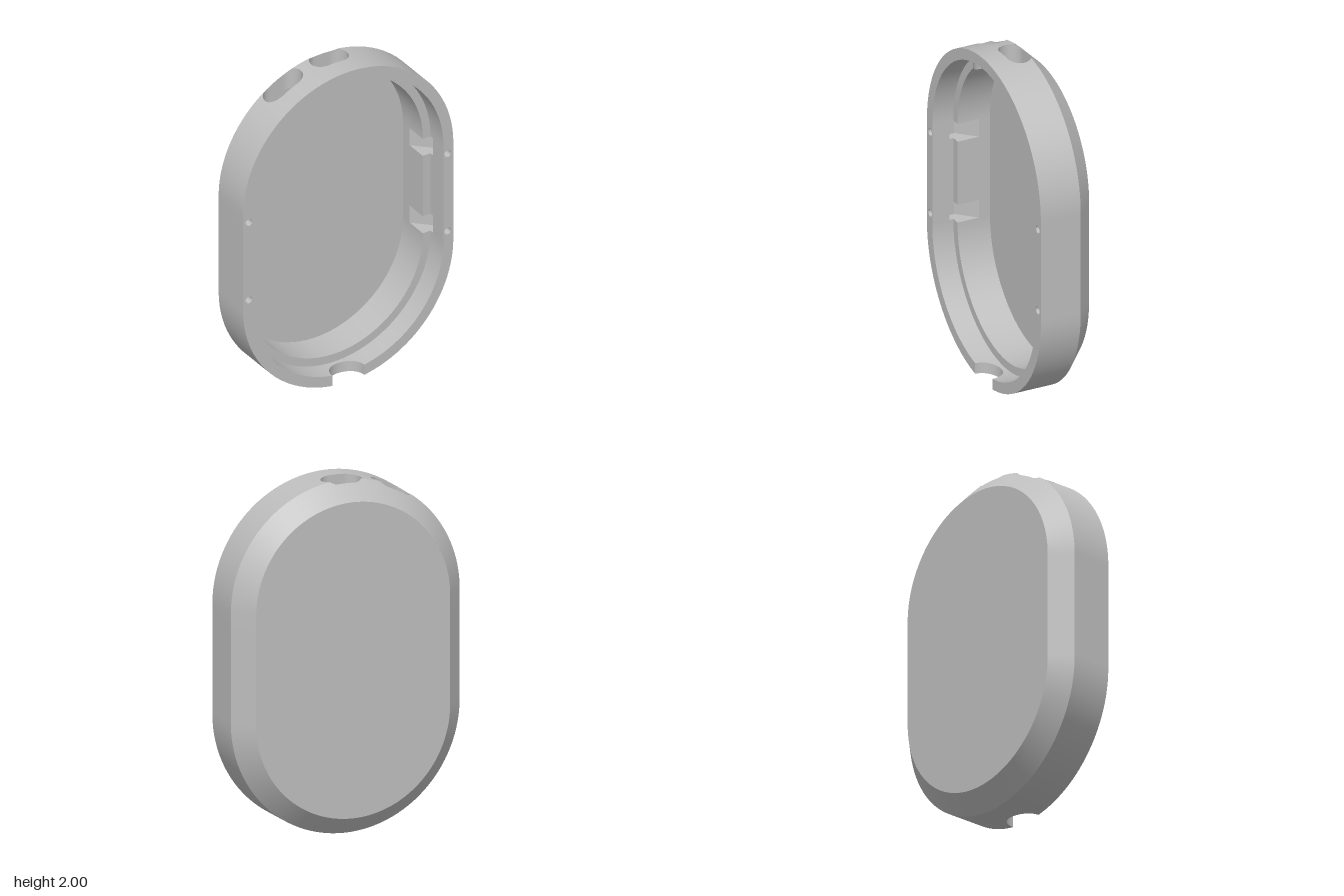
import * as THREE from 'three';
import { toCreasedNormals } from 'three/addons/utils/BufferGeometryUtils.js';

const R = 0.69, BACK_R = 0.585, RIM_R = 0.625, IN_R = 0.575, TOP = 1.31;
const FRONT = 0.175, LEDGE = 0.045, EDGE = -0.07, BACK = -0.175, FLOOR = -0.155;
const SLOT_W = 0.1175, SLOT_H = 0.071, SLOT_Z = -0.016, NOTCH = 0.105;
const POCKET_Z = [-0.087, 0.07], POCKET_R = 0.676, POCKET_Y = [0.75, 1.25], POCKET_H = 0.055;
const HOLE_X = 0.652, HOLE_R = 0.022;

const lerp = THREE.MathUtils.lerp, clamp = THREE.MathUtils.clamp;

// x samples across an opening, denser towards its ends
const across = (c, w) => Array.from({ length: 33 }, (_, k) => c + w * Math.cos(Math.PI * k / 32));

// z range removed by the port slots and by the notch at a given x
function slotGap(x) {
  for (const c of [0, -0.303]) {
    const d = Math.abs(x - c);
    if (d > SLOT_W + 1e-6) continue;
    const e = Math.max(0, d - (SLOT_W - SLOT_H));
    const h = Math.sqrt(Math.max(0, SLOT_H ** 2 - e * e));
    return [SLOT_Z - h, SLOT_Z + h];
  }
  return null;
}
function notchGap(x) {
  if (Math.abs(x) > NOTCH + 1e-6) return null;
  return [FRONT - Math.sqrt(Math.max(0, NOTCH ** 2 - x * x)), FRONT + 0.05];
}

// Columns around the outline: at(r) gives the point for an outline of radius r
function makeColumns() {
  const cols = [];
  const half = (turn, xs, gapAt, notch) => {
    const add = (fn, extra) => cols.push({
      at: r => { const [x, y] = fn(r); return turn ? [-x, 2 - y] : [x, y]; }, gap: null, ...extra });
    for (const y of POCKET_Y) {
      add(r => [r, y - POCKET_H], { pocket: true });
      add(r => [r, y + POCKET_H]);
    }
    const angled = (f, from, to) => add(r => {
      const a = lerp(from(r), to(r), f);
      return [r * Math.cos(a), TOP + r * Math.sin(a)];
    });
    const first = r => Math.acos(xs[0] / r), last = r => Math.acos(xs[xs.length - 1] / r);
    for (let k = 0; k < 24; k++) angled(k / 24, () => 0, first);
    for (const x of xs) {
      const gap = gapAt(x);
      add(r => [x, TOP + Math.sqrt(r * r - x * x)], { gap, notch: notch && !!gap });
    }
    for (let k = 1; k <= 24; k++) angled(k / 24, last, () => Math.PI);
  };
  half(false, [0.13, ...across(0, SLOT_W), -0.15, ...across(-0.303, SLOT_W), -0.45], slotGap, false);
  half(true, [0.13, ...across(0, NOTCH), -0.13], notchGap, true);
  return cols;
}

// Collects quads and turns them into a creased geometry
function quadBuilder() {
  const pos = [];
  const tri = (a, b, c) => {
    const t = new THREE.Triangle(...[a, b, c].map(p => new THREE.Vector3(...p)));
    if (t.getArea() > 1e-9) pos.push(...a, ...b, ...c);
  };
  return {
    quad(a, b, c, d) { tri(a, b, c); tri(a, c, d); },
    build() {
      const g = new THREE.BufferGeometry();
      g.setAttribute('position', new THREE.Float32BufferAttribute(pos, 3));
      return toCreasedNormals(g, 0.5);
    },
  };
}

// Sweeps a profile segment [r, z] -> [r, z] around the outline, leaving the openings
function band(cols, [ra, za], [rb, zb], inner) {
  const q = quadBuilder();
  const rAt = z => za === zb ? ra : lerp(ra, rb, (z - za) / (zb - za));
  const pt = (c, r, z) => [...c.at(r), z];
  cols.forEach((c, i) => {
    const d = cols[(i + 1) % cols.length];
    let g = c.gap && d.gap ? [c.gap, d.gap] : null;
    if (inner && c.pocket) g = [POCKET_Z, POCKET_Z];
    if (!g || za === zb) {
      if (g && g[0][0] + g[1][0] < 2 * za && g[0][1] + g[1][1] > 2 * za) return;
      q.quad(pt(c, ra, za), pt(d, ra, za), pt(d, rb, zb), pt(c, rb, zb));
      return;
    }
    const lo = Math.min(za, zb), hi = Math.max(za, zb), up = zb > za ? 0 : 1;
    const cut = k => g.map(v => clamp(v[k], lo, hi));
    for (const [s, e] of [[[za, za], cut(up)], [cut(1 - up), [zb, zb]]]) {
      q.quad(pt(c, rAt(s[0]), s[0]), pt(d, rAt(s[1]), s[1]), pt(d, rAt(e[1]), e[1]), pt(c, rAt(e[0]), e[0]));
    }
  });
  return q.build();
}

// Walls of the slots and the notch, from the outer to the inner surface
function openingWalls(cols) {
  const q = quadBuilder();
  const outer = (c, z) => [...c.at(z < EDGE ? R - (EDGE - z) : R), z];
  const inner = (c, z) => [...c.at(z > LEDGE ? RIM_R : IN_R), z];
  cols.forEach((c, i) => {
    const d = cols[(i + 1) % cols.length];
    if (!c.gap || !d.gap) return;
    const [a, b] = [c.gap, d.gap];
    q.quad(outer(c, a[0]), outer(d, b[0]), inner(d, b[0]), inner(c, a[0]));
    if (!c.notch) q.quad(inner(c, a[1]), inner(d, b[1]), outer(d, b[1]), outer(c, a[1]));
  });
  return q.build();
}

const toShape = pts => new THREE.Shape(pts.map(p => new THREE.Vector2(p[0], p[1])));
const circle = (x, y) => new THREE.Path().absarc(x, y, HOLE_R, 0, Math.PI * 2, true);

// Front rim, open at the notch and pierced by four small holes
function rimGeometry(cols) {
  const first = cols.findIndex(c => c.notch);
  const count = cols.filter(c => c.notch).length;
  const run = [...cols.slice(first + count - 1), ...cols.slice(0, first + 1)];
  const shape = toShape([...run.map(c => c.at(R)), ...run.map(c => c.at(RIM_R)).reverse()]);
  for (const x of [-HOLE_X, HOLE_X]) for (const y of POCKET_Y) shape.holes.push(circle(x, y));
  return new THREE.ShapeGeometry(shape, 10).translate(0, 0, FRONT);
}

export function createModel() {
  const model = new THREE.Group();
  model.name = 'caseShell';
  const grey = new THREE.MeshStandardMaterial({ color: 0xbebebe, side: THREE.DoubleSide });
  grey.name = 'grey';
  const add = (parent, name, geometry) => {
    const m = new THREE.Mesh(geometry, grey);
    m.name = name;
    parent.add(m);
    return m;
  };
  const cols = makeColumns();

  // Outer and inner skins
  add(model, 'backChamfer', band(cols, [BACK_R, BACK], [R, EDGE], false));
  add(model, 'outerWall', band(cols, [R, EDGE], [R, FRONT], false));
  add(model, 'frontRim', rimGeometry(cols));
  add(model, 'rimInnerWall', band(cols, [RIM_R, FRONT], [RIM_R, LEDGE], true));
  add(model, 'ledge', band(cols, [RIM_R, LEDGE], [IN_R, LEDGE], true));
  add(model, 'cavityWall', band(cols, [IN_R, LEDGE], [IN_R, FLOOR], true));
  add(model, 'openingWalls', openingWalls(cols));

  // Flat panels
  const panel = r => new THREE.ShapeGeometry(toShape(cols.map(c => c.at(r))));
  add(model, 'cavityFloor', panel(IN_R).translate(0, 0, FLOOR));
  add(model, 'backPanel', panel(BACK_R).rotateY(Math.PI).translate(0, 0, BACK));

  // Undercut pockets with sloping floors, each reached by a hole through the rim
  const [z0, z1] = POCKET_Z;
  const zBend = z0 + POCKET_R - IN_R;
  const section = [[IN_R, z0], [POCKET_R, zBend], [POCKET_R, z1], [RIM_R, z1], [RIM_R, LEDGE], [IN_R, LEDGE]];
  for (const side of ['left', 'right']) {
    const group = new THREE.Group();
    group.name = side + 'Pockets';
    if (side === 'right') { group.rotation.z = Math.PI; group.position.y = 2; }
    model.add(group);
    for (const y of POCKET_Y) {
      const a = y - POCKET_H, b = y + POCKET_H;
      const q = quadBuilder();
      for (const [s, e] of [[section[2], section[1]], [section[1], section[0]]]) {
        q.quad([s[0], a, s[1]], [s[0], b, s[1]], [e[0], b, e[1]], [e[0], a, e[1]]);
      }
      add(group, 'pocketFloor', q.build());
      for (const end of [a, b]) {
        add(group, 'pocketEnd', new THREE.ShapeGeometry(toShape(section)).rotateX(Math.PI / 2).translate(0, end, 0));
      }
      const roof = toShape([[RIM_R, a], [POCKET_R, a], [POCKET_R, b], [RIM_R, b]]);
      roof.holes.push(circle(HOLE_X, y));
      add(group, 'pocketRoof', new THREE.ShapeGeometry(roof, 10).translate(0, 0, z1));
      add(group, 'rimHole', new THREE.CylinderGeometry(HOLE_R, HOLE_R, FRONT - z1, 20, 1, true)
        .rotateX(Math.PI / 2).translate(HOLE_X, y, (FRONT + z1) / 2));
    }
  }
  return model;
}
